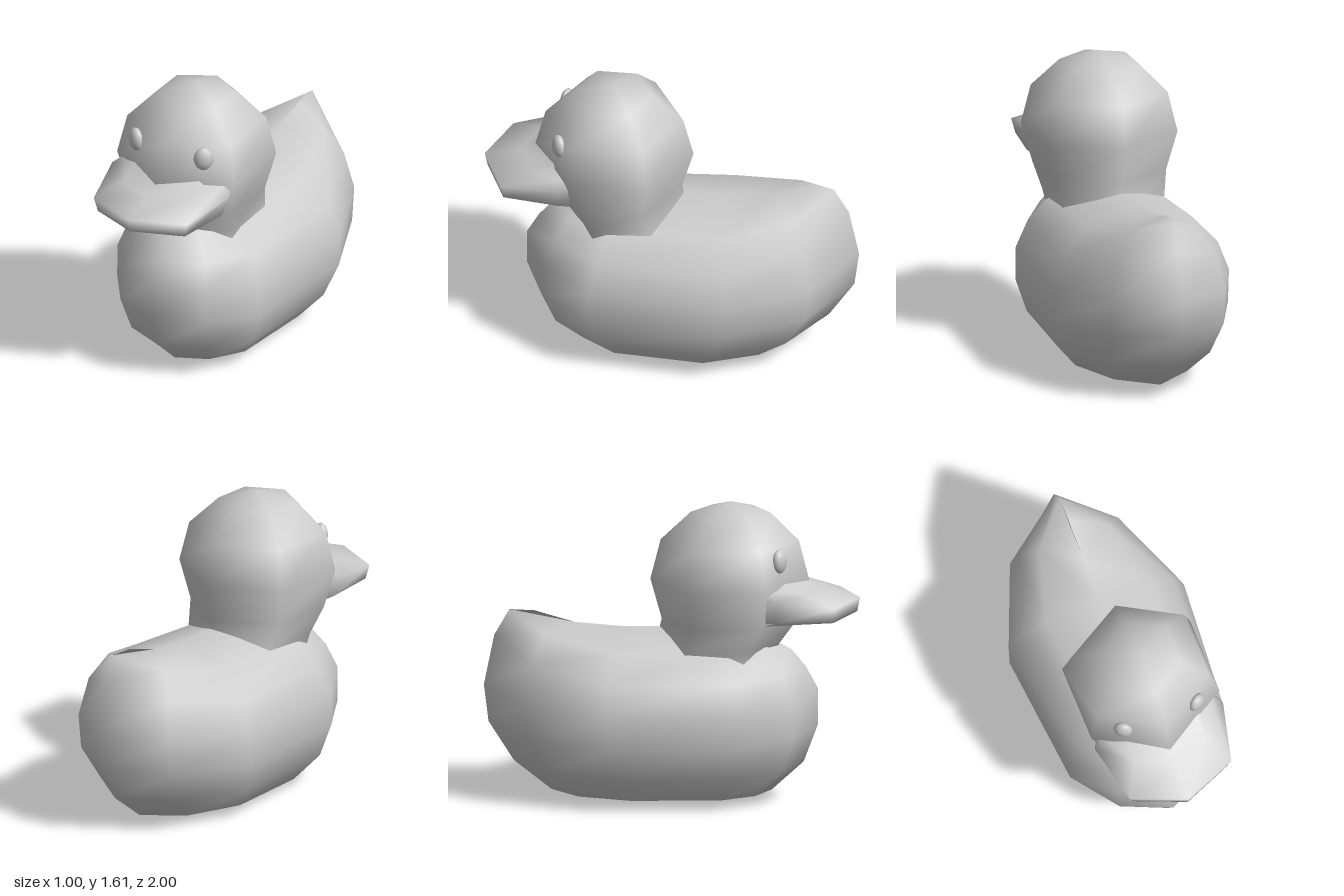
import * as THREE from 'three';
import { mergeVertices } from 'three/addons/utils/BufferGeometryUtils.js';

const material = new THREE.MeshStandardMaterial({ color: 0xcccccc });

// Completes a half ring (front to back, along +x) with its mirror image.
const mirrorRing = (half) => [
  ...half,
  ...half.slice(1, -1).reverse().map(([x, y, z]) => [-x, y, z]),
];

// Smooth skin through rings listed from bottom to top.
function loft(name, halfRings) {
  const rings = halfRings.map(mirrorRing);
  const n = rings[0].length;
  const index = [];
  for (let i = 0; i < rings.length - 1; i++) {
    for (let j = 0; j < n; j++) {
      const k = (j + 1) % n;
      const a = i * n + j, b = i * n + k, c = b + n, d = a + n;
      index.push(a, b, c, a, c, d);
    }
  }
  let geometry = new THREE.BufferGeometry();
  geometry.setAttribute('position', new THREE.Float32BufferAttribute(rings.flat(2), 3));
  geometry.setIndex(index);
  geometry = mergeVertices(geometry, 1e-4);
  geometry.computeVertexNormals();
  const mesh = new THREE.Mesh(geometry, material);
  mesh.name = name;
  return mesh;
}

// Body ring outline: x share of half width, z from +1 front to -1 back.
const bodyOutline = [[0, 1], [0.52, 0.865], [0.88, 0.57], [1, -0.25], [0.64, -0.74], [0, -1]];
// How far each outline point takes the height of the front or the back.
const frontShare = [1, 0.6, 0.1, 0, 0, 0];
const backShare = [0, 0, 0, 0, 0.45, 1];

function bodyRing([halfWidth, ySide, zFront, yFront, zBack, yBack]) {
  const mid = (zFront + zBack) / 2, half = (zFront - zBack) / 2;
  return bodyOutline.map(([x, z], i) => [
    x * halfWidth,
    ySide + frontShare[i] * (yFront - ySide) + backShare[i] * (yBack - ySide),
    mid + z * half,
  ]);
}

function createBody() {
  const rings = [
    [0, 0, 0.15, 0, -0.3, 0],
    [0.16, 0.012, 0.22, 0.015, -0.36, 0.012],
    [0.32, 0.045, 0.53, 0.045, -0.64, 0.035],
    [0.44, 0.18, 0.7, 0.2, -0.84, 0.19],
    [0.5, 0.35, 0.775, 0.4, -0.975, 0.4],
    [0.5, 0.53, 0.775, 0.6, -1, 0.6],
    [0.44, 0.69, 0.71, 0.72, -0.945, 0.87],
    [0.3, 0.84, 0.635, 0.81, -0.865, 1.01],
  ].map(bodyRing);
  // Ridge of the back, rising to the tail
  const ridge = [[0.85, 0.5], [0.92, 0.42], [0.93, 0.235], [0.925, -0.27], [0.945, -0.52], [1.005, -0.73]];
  rings.push(ridge.map(([y, z]) => [0, y, z]));
  return loft('body', rings);
}

// Six-sided rings for neck and head
function createHead() {
  const rings = [
    // y, half width, front z, back z
    [0.76, 0.27, 0.55, -0.09],
    [0.84, 0.285, 0.57, -0.085],
    [0.97, 0.312, 0.665, -0.055],
    [1.185, 0.366, 0.73, -0.115],
    [1.4, 0.32, 0.675, -0.06],
    [1.55, 0.185, 0.525, 0.1],
    [1.61, 0, 0.31, 0.31],
  ].map(([y, w, front, back]) => {
    const mid = (front + back) / 2, quarter = (front - back) / 4;
    return [[0, y, front], [w, y, mid + quarter], [w, y, mid - quarter], [0, y, back]];
  });
  return loft('head', rings);
}

// Broad flat bill, its rear hidden inside the head
function createBill() {
  const point = [0, 0.95, 0.5];
  return loft('bill', [
    [point, point, point, point, point],
    [[0, 1.005, 0.74], [0.2, 1, 0.64], [0.28, 0.99, 0.48], [0.15, 0.99, 0.3], [0, 0.99, 0.25]],
    [[0, 1.02, 0.985], [0.27, 1.012, 0.87], [0.315, 1.012, 0.57], [0.2, 1.01, 0.3], [0, 1.01, 0.25]],
    [[0, 1.095, 1], [0.29, 1.09, 0.88], [0.365, 1.14, 0.57], [0.25, 1.14, 0.3], [0, 1.14, 0.25]],
    [[0, 1.14, 0.81], [0.2, 1.15, 0.72], [0.31, 1.185, 0.53], [0.2, 1.19, 0.3], [0, 1.19, 0.25]],
    [[0, 1.19, 0.72], [0.2, 1.22, 0.58], [0.25, 1.22, 0.48], [0.15, 1.22, 0.3], [0, 1.22, 0.25]],
  ]);
}

function createEye(side) {
  const eye = new THREE.Mesh(new THREE.SphereGeometry(1, 10, 8), material);
  eye.name = side > 0 ? 'leftEye' : 'rightEye';
  eye.scale.set(0.052, 0.066, 0.034);
  eye.position.set(side * 0.21, 1.33, 0.582);
  eye.rotation.y = side * Math.PI / 6;
  return eye;
}

export function createModel() {
  const group = new THREE.Group();
  group.name = 'duck';
  group.add(createBody(), createHead(), createBill(), createEye(1), createEye(-1));
  return group;
}
